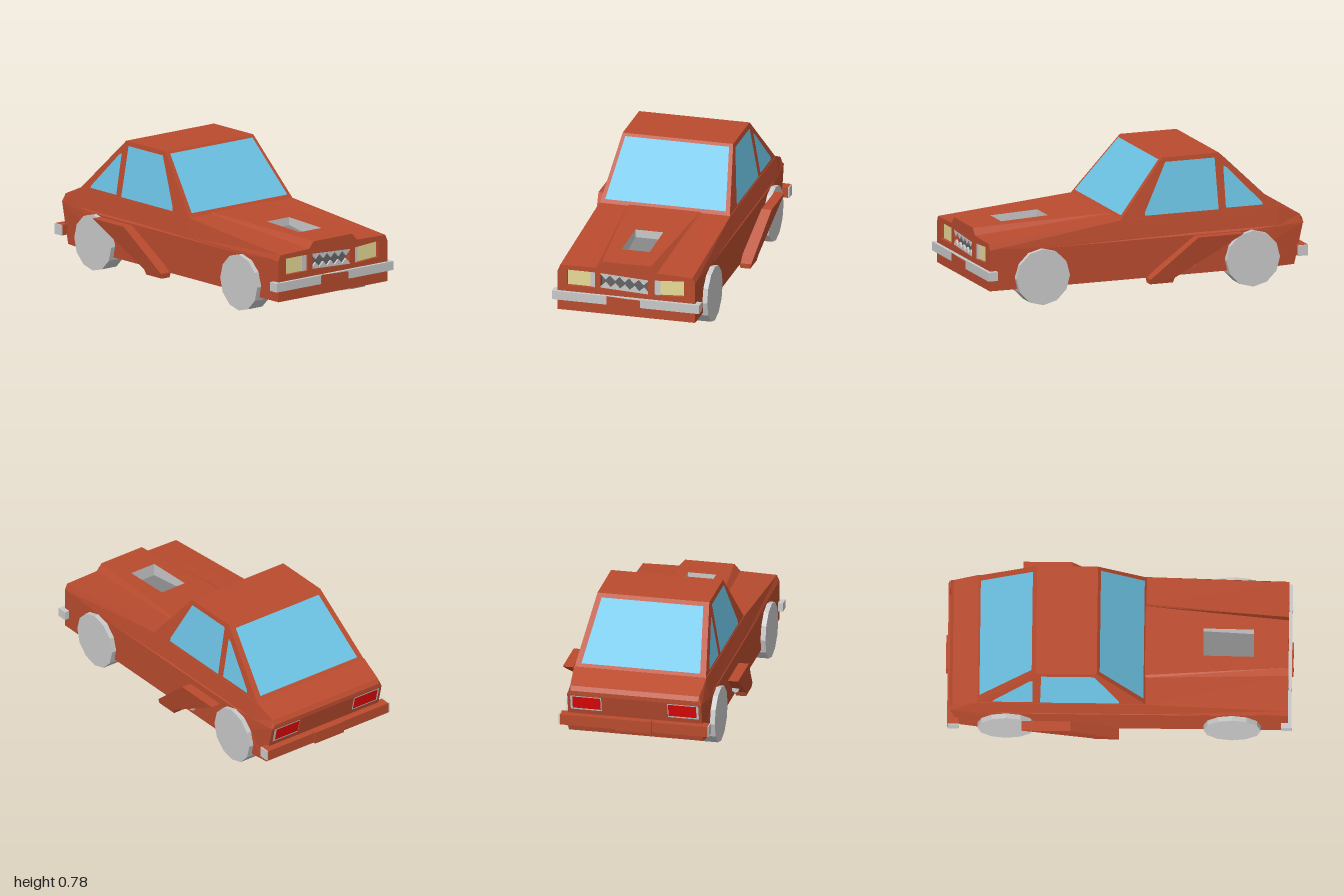
import * as THREE from 'three';

const mat = (name, color) => Object.assign(
  new THREE.MeshStandardMaterial({ color, side: THREE.DoubleSide, flatShading: true }), { name });

export function createModel() {
  const paint = mat('rust paint', 0xb94b2e);
  const glass = mat('blue glass', 0x6cc2e4);
  const silver = mat('silver', 0xc8c8c8);
  const grey = mat('underbody grey', 0xb4b4b4);
  const shade = mat('recess grey', 0x868686);
  const dark = mat('exhaust dark grey', 0x646464);
  const yellow = mat('headlight yellow', 0xeee09a);
  const red = mat('tail light red', 0xf20808);

  const car = new THREE.Group();
  car.name = 'car';
  const add = (name, geometry, material) => {
    const mesh = new THREE.Mesh(geometry, material);
    mesh.name = name;
    car.add(mesh);
    return mesh;
  };
  const box = (name, m, x0, x1, y0, y1, z0, z1) =>
    add(name, new THREE.BoxGeometry(x1 - x0, y1 - y0, z1 - z0), m)
      .position.set((x0 + x1) / 2, (y0 + y1) / 2, (z0 + z1) / 2);
  // Flat convex polygons, each a list of [x, y, z] corners
  const polys = (name, m, list) => {
    const pos = [];
    for (const p of list)
      for (let i = 1; i < p.length - 1; i++) pos.push(...p[0], ...p[i], ...p[i + 1]);
    const g = new THREE.BufferGeometry();
    g.setAttribute('position', new THREE.Float32BufferAttribute(pos, 3));
    g.computeVertexNormals();
    return add(name, g, m);
  };
  const shape = pts => new THREE.Shape(pts.map(p => new THREE.Vector2(...p)));
  const extrude = (s, depth) => new THREE.ExtrudeGeometry(s, { depth, bevelEnabled: false });
  const rect = (x0, x1, y0, y1) => [[x0, y0], [x1, y0], [x1, y1], [x0, y1]];

  // Lower body with wheel arches, drawn as (-z, y) and extruded across the car
  const arch = centre => Array.from({ length: 9 }, (_, i) => {
    const a = Math.PI + 0.4 - (i / 8) * (Math.PI + 0.8);
    return [centre + 0.164 * Math.cos(a), 0.163 + 0.164 * Math.sin(a)];
  });
  const lower = extrude(shape([
    [-0.93, 0.1], ...arch(-0.65), ...arch(0.65), [0.92, 0.1], [0.975, 0.345], [-0.93, 0.345],
  ]), 0.82);
  lower.translate(0, 0, -0.41).rotateY(Math.PI / 2);
  const lp = lower.attributes.position;
  for (let i = 0; i < lp.count; i++)
    if (lp.getZ(i) < -0.9) lp.setX(i, lp.getX(i) * 0.965);
  lower.computeVertexNormals();
  add('lowerBody', lower, paint);

  // Shoulders, hood and tail deck, lofted from half sections
  const ring = (z, half) => [
    ...half.map(([x, y]) => [x, y, z]),
    ...half.slice().reverse().map(([x, y]) => [-x, y, z]),
  ];
  const rings = [
    ring(0.97, [[0.41, 0.34], [0.395, 0.375], [0.18, 0.38], [0.145, 0.42]]),
    ring(0.15, [[0.41, 0.34], [0.391, 0.446], [0.225, 0.446], [0.21, 0.452]]),
    ring(-0.82, [[0.41, 0.34], [0.391, 0.45], [0.22, 0.45], [0.2, 0.45]]),
    ring(-0.96, [[0.397, 0.34], [0.38, 0.39], [0.22, 0.39], [0.2, 0.39]]),
    ring(-0.977, [[0.396, 0.34], [0.376, 0.365], [0.22, 0.365], [0.2, 0.365]]),
  ];
  const upper = [rings[4]];
  for (let s = 0; s < 4; s++)
    for (let i = 0; i < 7; i++)
      if (s > 0 || i !== 3)
        upper.push([rings[s][i], rings[s][i + 1], rings[s + 1][i + 1], rings[s + 1][i]]);
  polys('upperBody', paint, upper);

  // Raised hood centre with a sunken intake
  const hoodY = z => 0.42 + 0.032 * (0.97 - z) / 0.82;
  const hoodX = z => 0.145 + 0.065 * (0.97 - z) / 0.82;
  const hp = (x, z) => [x, hoodY(z), z];
  const w = 0.083, zf = 0.77, zb = 0.48;
  const across = (z0, z1) => [hp(-hoodX(z0), z0), hp(hoodX(z0), z0), hp(hoodX(z1), z1), hp(-hoodX(z1), z1)];
  const beside = s => [hp(s * w, zf), hp(s * hoodX(zf), zf), hp(s * hoodX(zb), zb), hp(s * w, zb)];
  polys('hoodCentre', paint, [across(0.97, zf), across(zb, 0.15), beside(1), beside(-1)]);
  const rim = [[-w, zf], [w, zf], [w, zb], [-w, zb]];
  const floorY = z => (z === zf ? 0.352 : 0.392);
  polys('intakeWalls', silver, rim.map(([x, z], i) => {
    const [x2, z2] = rim[(i + 1) % 4];
    return [hp(x, z), hp(x2, z2), [x2, floorY(z2), z2], [x, floorY(z), z]];
  }));
  polys('intakeFloor', shade, [rim.map(([x, z]) => [x, floorY(z), z])]);

  // Front panel with openings for lamps and grille
  const front = shape([
    [-0.41, 0.1], [0.41, 0.1], [0.41, 0.34], [0.395, 0.375], [0.18, 0.38], [0.145, 0.42],
    [-0.145, 0.42], [-0.18, 0.38], [-0.395, 0.375], [-0.41, 0.34],
  ]);
  front.holes.push(
    shape([[0.165, 0.243], [0.343, 0.253], [0.343, 0.348], [0.165, 0.336]]),
    shape(rect(-0.353, -0.188, 0.253, 0.349)),
    shape([[-0.155, 0.258], [0.13, 0.245], [0.13, 0.333], [-0.155, 0.348]]),
  );
  add('frontPanel', extrude(front, 0.04), paint).position.z = 0.93;
  box('grilleBack', dark, -0.16, 0.14, 0.24, 0.355, 0.925, 0.934);
  for (const [inner, edge, outer] of [[0.162, 0.198, 0.35], [-0.185, -0.22, -0.36]]) {
    const span = (a, b) => [Math.min(a, b), Math.max(a, b)];
    box('headlight', yellow, ...span(edge, outer), 0.24, 0.352, 0.93, 0.95);
    box('headlightSurround', silver, ...span(inner, edge), 0.24, 0.352, 0.93, 0.955);
  }

  // Jagged teeth along the top and bottom of the grille
  for (const [name, a, b, h] of [['upperTeeth', 0.348, 0.333, -0.036], ['lowerTeeth', 0.258, 0.245, 0.036]]) {
    const n = 5, pts = [[-0.155, a]];
    for (let i = 0; i < n * 2 + 1; i++) {
      const t = i / (n * 2);
      pts.push([-0.155 + 0.285 * t, a + (b - a) * t + (i % 2 ? h : h * 0.2)]);
    }
    pts.push([0.13, b]);
    add(name, extrude(shape(pts), 0.012), silver).position.z = 0.955;
  }

  // Cabin
  const base = [[0.388, 0.447, 0.15], [0.388, 0.447, -0.82], [-0.388, 0.447, -0.82], [-0.388, 0.447, 0.15]];
  const roof = [[0.33, 0.78, -0.13], [0.33, 0.78, -0.48], [-0.33, 0.78, -0.48], [-0.33, 0.78, -0.13]];
  polys('cabin', paint, [roof, ...base.map((b, i) => [b, base[(i + 1) % 4], roof[(i + 1) % 4], roof[i]])]);

  // Windows, lying just above the cabin faces
  const pane = (name, x0, y0, x1, y1, zAt) => polys(name, glass, [[
    [-x0, y0, zAt(y0)], [x0, y0, zAt(y0)], [x1, y1, zAt(y1)], [-x1, y1, zAt(y1)]]]);
  pane('windshield', 0.36, 0.468, 0.31, 0.767, y => 0.156 - 0.28 * (y - 0.447) / 0.333);
  pane('rearWindow', 0.35, 0.468, 0.3, 0.762, y => -0.826 + 0.34 * (y - 0.447) / 0.333);
  for (const s of [1, -1]) {
    const side = (z, y) => [s * (0.392 - 0.058 * (y - 0.447) / 0.333), y, z];
    polys('doorWindow', glass, [[side(0, 0.46), side(0, 0.48), side(-0.145, 0.755), side(-0.45, 0.755), side(-0.455, 0.46)]]);
    polys('quarterWindow', glass, [[side(-0.5, 0.465), side(-0.5, 0.705), side(-0.52, 0.695), side(-0.725, 0.48), side(-0.73, 0.465)]]);
  }

  // Tail lights on the sloping rear face
  for (const s of [1, -1])
    for (const [name, m, x0, x1, y0, y1, d] of [
      ['tailLightSurround', silver, 0.195, 0.378, 0.245, 0.335, 0.003],
      ['tailLight', red, 0.2, 0.365, 0.255, 0.33, 0.006]]) {
      const z = y => -0.92 - 0.055 * (y - 0.1) / 0.245 - d;
      polys(name, m, [rect(x0, x1, y0, y1).map(([x, y]) => [s * x, y, z(y)])]);
    }

  // Bumpers
  box('frontBumper', silver, -0.44, 0.44, 0.165, 0.217, 0.93, 0.99);
  polys('frontPlate', paint, [[[-0.11, 0.152, 1], [0.09, 0.142, 1], [0.09, 0.212, 1], [-0.11, 0.222, 1]]]);
  box('frontPlateMount', paint, -0.105, 0.085, 0.155, 0.212, 0.96, 0.999);
  box('rearBumper', paint, -0.435, 0.435, 0.155, 0.217, -0.99, -0.925);
  box('rearPlate', paint, -0.105, 0.105, 0.15, 0.222, -1, -0.96);
  for (const s of [1, -1])
    box('rearBumperEnd', silver, s * 0.438 - 0.004, s * 0.438 + 0.004, 0.155, 0.217, -0.988, -0.925);

  // Wheels
  for (const s of [1, -1])
    for (const z of [0.65, -0.65]) {
      const g = new THREE.CylinderGeometry(0.165, 0.165, 0.108, 12).rotateZ(Math.PI / 2);
      add('wheel', g, silver).position.set(s * 0.385, 0.163, z);
    }

  // Swept side fins with a small foot and a pipe outlet behind
  for (const s of [1, -1]) {
    const level = (y, xi, xo, zFront, zBack) =>
      [[s * xi, y, zFront], [s * xo, y, zFront], [s * xo, y, zBack], [s * xi, y, zBack]];
    const levels = [
      level(0.072, 0.41, 0.468, 0, -0.14),
      level(0.1, 0.4, 0.474, 0, -0.15),
      level(0.335, 0.457, 0.517, -0.28, -0.56),
    ];
    const faces = [levels[0], levels[2]];
    for (let k = 0; k < 2; k++)
      for (let i = 0; i < 4; i++)
        faces.push([levels[k][i], levels[k][(i + 1) % 4], levels[k + 1][(i + 1) % 4], levels[k + 1][i]]);
    polys('sideFin', paint, faces);
    add('sideOutlet', new THREE.CylinderGeometry(0.022, 0.022, 0.06, 6).rotateX(Math.PI / 2), silver)
      .position.set(s * 0.438, 0.17, -0.255);
  }

  // Underside and exhaust
  box('floor', grey, -0.39, 0.39, 0.098, 0.104, -0.915, 0.93);
  const plate = (name, x, z0, z1) => {
    const c = 0.04;
    polys(name, dark, [[[-x, z0 + c], [-x + c, z0], [x - c, z0], [x, z0 + c],
      [x, z1 - c], [x - c, z1], [-x + c, z1], [-x, z1 - c]].map(([a, b]) => [a, 0.095, b])]);
  };
  plate('enginePan', 0.13, 0.42, 0.72);
  plate('muffler', 0.11, -0.34, 0.08);
  box('exhaustPipe', dark, -0.018, 0.018, 0.094, 0.098, -0.78, 0.78);
  return car;
}
